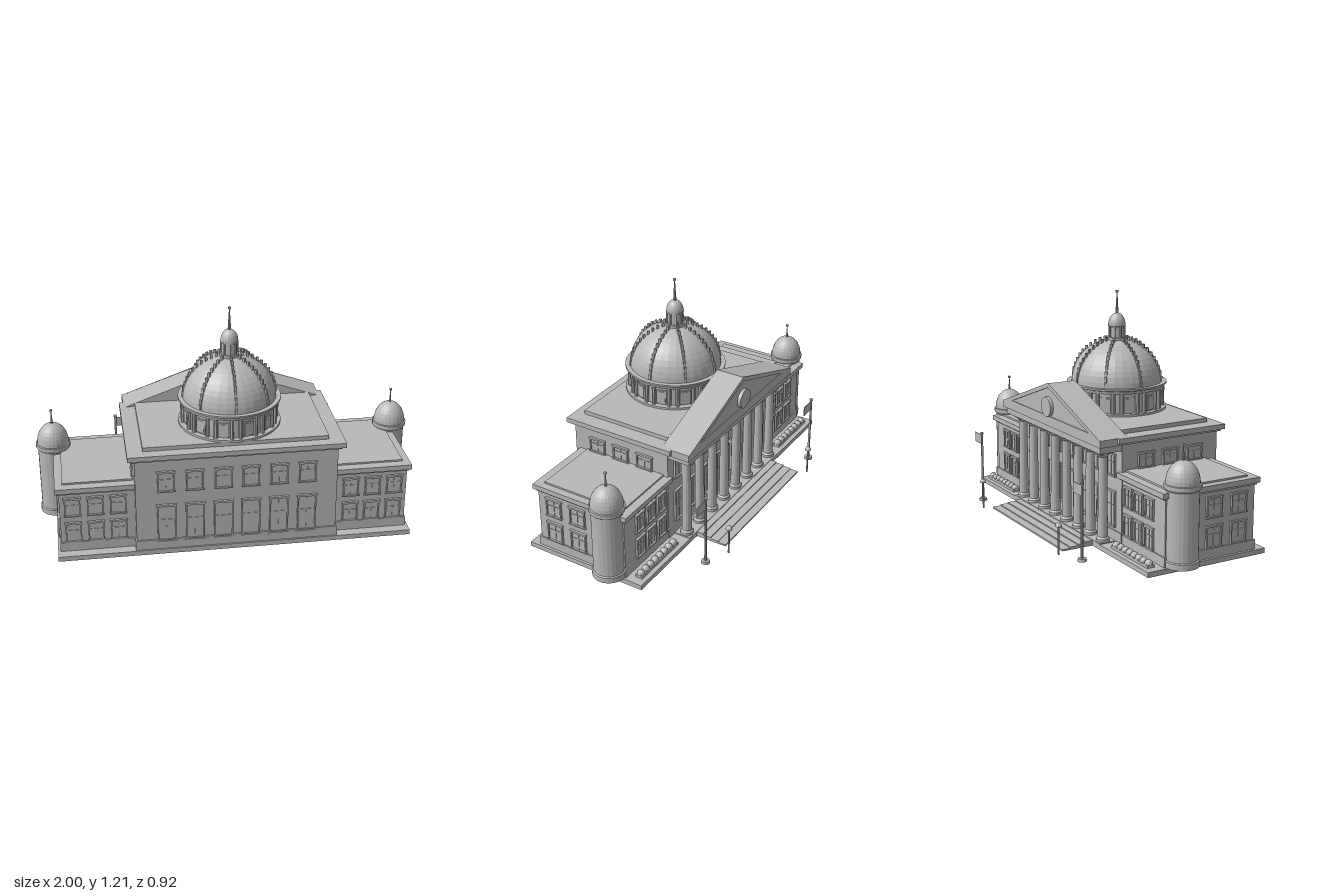
import * as THREE from 'three';

export function createModel() {
  const model = new THREE.Group();
  const stone = new THREE.MeshStandardMaterial({ color: 0xb8b8b8, flatShading: true });
  stone.name = 'stone grey';

  const add = (name, geo, x = 0, y = 0, z = 0, parent = model) => {
    const m = new THREE.Mesh(geo, stone);
    m.name = name;
    m.position.set(x, y, z);
    parent.add(m);
    return m;
  };
  // box given by its minimum and maximum on each axis
  const block = (name, x0, x1, y0, y1, z0, z1, parent = model) =>
    add(name, new THREE.BoxGeometry(x1 - x0, y1 - y0, z1 - z0), (x0 + x1) / 2, (y0 + y1) / 2, (z0 + z1) / 2, parent);
  const lathe = (name, pts, seg, x, z, parent = model) =>
    add(name, new THREE.LatheGeometry(pts.map(p => new THREE.Vector2(...p)), seg), x, 0, z, parent);
  // points of a dome profile, from its rim to its top
  const domeProfile = (r, h, y0, n) => Array.from({ length: n + 1 }, (_, i) => {
    const a = (i / n) * Math.PI / 2;
    return [i === n ? 0 : r * Math.cos(a), y0 + h * Math.sin(a)];
  });

  // window on a wall: pane, frame, mullion, transom and sill; turn is the facing angle about y
  const windowAt = (name, x, y0, y1, z, w, turn) => {
    const g = new THREE.Group();
    g.name = name;
    const h = w / 2, t = 0.007, mid = y0 + (y1 - y0) * 0.6;
    block('pane', -h, h, y0, y1, -0.002, 0.003, g);
    for (const s of [-1, 1]) block('frameSide', s * h - t / 2, s * h + t / 2, y0, y1, 0, 0.01, g);
    block('frameTop', -h - t, h + t, y1 - t, y1 + t / 2, 0, 0.012, g);
    block('sill', -h - t, h + t, y0 - t / 2, y0 + t / 2, 0, 0.013, g);
    block('mullion', -0.002, 0.002, y0, y1, 0, 0.006, g);
    block('transom', -h, h, mid - 0.002, mid + 0.002, 0, 0.006, g);
    g.position.set(x, 0, z);
    g.rotation.y = turn;
    model.add(g);
  };

  // base slab and entrance steps
  block('baseSlab', -0.915, 0.915, 0, 0.026, -0.235, 0.445);
  for (let i = 0; i < 4; i++)
    block('step', -0.4, 0.4, 0, 0.027 - i * 0.006, -0.27 - i * 0.045, -0.2);

  // central block with plinth, cornice and raised roof
  block('centralBlock', -0.515, 0.515, 0.026, 0.55, -0.135, 0.43);
  block('centralPlinth', -0.522, 0.522, 0.026, 0.08, -0.142, 0.438);
  block('centralFrieze', -0.53, 0.53, 0.535, 0.55, -0.15, 0.442);
  block('centralCornice', -0.55, 0.55, 0.548, 0.574, -0.17, 0.457);
  block('centralRoof', -0.47, 0.47, 0.574, 0.595, -0.11, 0.4);
  for (const x of [-0.36, -0.215, -0.07, 0.07, 0.215, 0.36]) {
    windowAt('lowerRearWindow', x, 0.07, 0.28, 0.43, 0.09, 0);
    windowAt('upperRearWindow', x, 0.36, 0.47, 0.43, 0.08, 0);
  }
  for (const x of [-0.42, -0.28, -0.14, 0.14, 0.28, 0.42])
    windowAt('lowerFacadeWindow', x, 0.1, 0.28, -0.135, 0.075, Math.PI);
  for (const x of [-0.42, -0.28, -0.14, 0, 0.14, 0.28, 0.42])
    windowAt('upperFacadeWindow', x, 0.36, 0.47, -0.135, 0.075, Math.PI);
  windowAt('entranceDoor', 0, 0.03, 0.29, -0.14, 0.11, Math.PI);

  // portico: columns, entablature, gable roof and round ornament
  block('porticoFloor', -0.47, 0.47, 0.02, 0.031, -0.235, -0.13);
  for (let i = 0; i < 8; i++) {
    const x = -0.434 + i * 0.124;
    lathe('column', [[0, 0.03], [0.034, 0.03], [0.034, 0.045], [0.026, 0.055], [0.026, 0.06], [0.022, 0.465],
      [0.028, 0.472], [0.034, 0.485], [0, 0.485]], 16, x, -0.195);
    block('columnCapital', x - 0.036, x + 0.036, 0.483, 0.502, -0.231, -0.159);
  }
  block('entablature', -0.51, 0.51, 0.5, 0.54, -0.256, -0.13);
  block('porticoCornice', -0.53, 0.53, 0.535, 0.572, -0.268, -0.13);
  const gable = new THREE.Shape();
  gable.moveTo(-0.53, 0.57).lineTo(0.53, 0.57).lineTo(0, 0.76).closePath();
  add('porticoRoof', new THREE.ExtrudeGeometry(gable, { depth: 0.154, bevelEnabled: false }), 0, 0, -0.264);
  const rake = new THREE.Shape();
  rake.moveTo(-0.53, 0.57).lineTo(0.53, 0.57).lineTo(0, 0.762).closePath();
  const hole = new THREE.Path();
  hole.moveTo(-0.42, 0.588).lineTo(0, 0.738).lineTo(0.42, 0.588).closePath();
  rake.holes.push(hole);
  add('pedimentMoulding', new THREE.ExtrudeGeometry(rake, { depth: 0.006, bevelEnabled: false }), 0, 0, -0.269);
  add('pedimentMedallion', new THREE.CylinderGeometry(0.052, 0.052, 0.02, 24), 0, 0.638, -0.272).rotation.x = Math.PI / 2;

  // drum with panels and pilasters
  const dome = new THREE.Group();
  dome.name = 'mainDome';
  dome.position.z = 0.145;
  model.add(dome);
  lathe('drum', [[0, 0.594], [0.264, 0.594], [0.264, 0.606], [0.235, 0.606], [0.235, 0.708], [0.252, 0.71],
    [0.256, 0.725], [0.264, 0.728], [0.264, 0.737], [0.24, 0.737]], 48, 0, 0, dome);
  for (let i = 0; i < 12; i++) {
    const bay = new THREE.Group();
    bay.name = 'drumBay';
    bay.rotation.y = i * Math.PI / 6;
    dome.add(bay);
    for (const a of [-0.09, 0.09])
      add('drumPilaster', new THREE.CylinderGeometry(0.011, 0.011, 0.106, 8), 0.242 * Math.sin(a), 0.658, 0.242 * Math.cos(a), bay);
    const panel = new THREE.Group();
    panel.name = 'drumWindow';
    panel.rotation.y = Math.PI / 12;
    bay.add(panel);
    block('drumWindowFrame', -0.027, 0.027, 0.613, 0.69, 0.22, 0.24, panel);
    block('drumWindowPane', -0.02, 0.02, 0.62, 0.683, 0.23, 0.243, panel);
  }
  // dome shell, studded ribs, lantern and spire
  lathe('domeShell', domeProfile(0.24, 0.225, 0.735, 12), 32, 0, 0, dome);
  for (let i = 0; i < 8; i++) {
    const rib = new THREE.Group();
    rib.name = 'domeRib';
    rib.rotation.y = i * Math.PI / 4;
    dome.add(rib);
    for (let k = 0; k < 11; k++) {
      const a = 0.08 + k * 0.122;
      add('ribStud', new THREE.BoxGeometry(0.012, 0.026, 0.012), 0, 0.738 + 0.227 * Math.sin(a), 0.24 * Math.cos(a), rib);
    }
  }
  lathe('lantern', [[0.05, 0.94], [0.05, 0.97], [0.04, 0.97], [0.04, 1.025], [0.046, 1.028], [0.046, 1.036],
    ...domeProfile(0.045, 0.06, 1.036, 8)], 20, 0, 0, dome);
  for (let i = 0; i < 8; i++) {
    const a = i * Math.PI / 4;
    add('lanternColumn', new THREE.CylinderGeometry(0.006, 0.006, 0.06, 6), 0.041 * Math.sin(a), 0.998, 0.041 * Math.cos(a), dome);
  }
  add('spire', new THREE.CylinderGeometry(0.002, 0.009, 0.12, 8), 0, 1.148, 0, dome);
  add('spireFinial', new THREE.BoxGeometry(0.012, 0.012, 0.012), 0, 1.208, 0, dome);

  for (const s of [-1, 1]) {
    // side wing
    const span = (name, a, b, ...rest) => block(name, Math.min(s * a, s * b), Math.max(s * a, s * b), ...rest);
    span('wing', 0.5, 0.895, 0.026, 0.37, -0.13, 0.385);
    span('wingPlinth', 0.5, 0.902, 0.026, 0.075, -0.137, 0.393);
    span('wingFrieze', 0.5, 0.903, 0.355, 0.368, -0.14, 0.394);
    span('wingCornice', 0.5, 0.913, 0.366, 0.393, -0.155, 0.405);
    span('wingRoof', 0.5, 0.875, 0.393, 0.402, -0.11, 0.357);
    for (const [y0, y1] of [[0.08, 0.188], [0.23, 0.33]]) {
      for (const x of [0.6, 0.715, 0.83]) windowAt('wingRearWindow', s * x, y0, y1, 0.385, 0.075, 0);
      for (const x of [0.575, 0.67, 0.765]) windowAt('wingFrontWindow', s * x, y0, y1, -0.13, 0.065, Math.PI);
      for (const z of [0.29, 0.146]) windowAt('wingSideWindow', s * 0.895, y0, y1, z, 0.085, s * Math.PI / 2);
    }
    for (const z of [0.29, 0.146, 0.002])
      windowAt('centralSideWindow', s * 0.515, 0.405, 0.48, z, 0.085, s * Math.PI / 2);

    // corner tower
    lathe('tower', [[0, 0.028], [0.087, 0.028], [0.087, 0.058], [0.08, 0.062], [0.08, 0.4], [0.086, 0.405], [0.09, 0.412],
      [0.09, 0.43], [0.083, 0.432], ...domeProfile(0.083, 0.108, 0.432, 8)], 24, s * 0.91, -0.045);
    add('towerSpire', new THREE.CylinderGeometry(0.002, 0.006, 0.075, 8), s * 0.91, 0.572, -0.045);
    add('towerFinial', new THREE.BoxGeometry(0.012, 0.012, 0.012), s * 0.91, 0.612, -0.045);

    // planter with shrubs
    span('planter', 0.54, 0.87, 0.026, 0.04, -0.21, -0.17);
    for (let i = 0; i < 8; i++)
      add('shrub', new THREE.SphereGeometry(0.021, 12, 8), s * (0.56 + i * 0.0414), 0.042, -0.19);

    // flagpole with flag; both flags fly towards +x
    add('flagpoleBase', new THREE.CylinderGeometry(0.021, 0.023, 0.014, 16), s * 0.565, 0.007, -0.387);
    add('flagpole', new THREE.CylinderGeometry(0.006, 0.007, 0.375, 10), s * 0.565, 0.2, -0.387);
    add('flagpoleCap', new THREE.CylinderGeometry(0.01, 0.01, 0.008, 10), s * 0.565, 0.387, -0.387);
    block('flag', s * 0.565, s * 0.565 + 0.085, 0.325, 0.378, -0.389, -0.385);

    // lamp post and wall lantern
    add('lampPost', new THREE.CylinderGeometry(0.005, 0.005, 0.15, 8), s * 0.435, 0.075, -0.445);
    lathe('lampShade', [[0, 0.146], [0.017, 0.146], ...domeProfile(0.017, 0.018, 0.147, 6)], 14, s * 0.435, -0.445);
    block('wallLantern', s * 0.09 - 0.006, s * 0.09 + 0.006, 0.275, 0.3, -0.156, -0.13);
  }
  return model;
}
